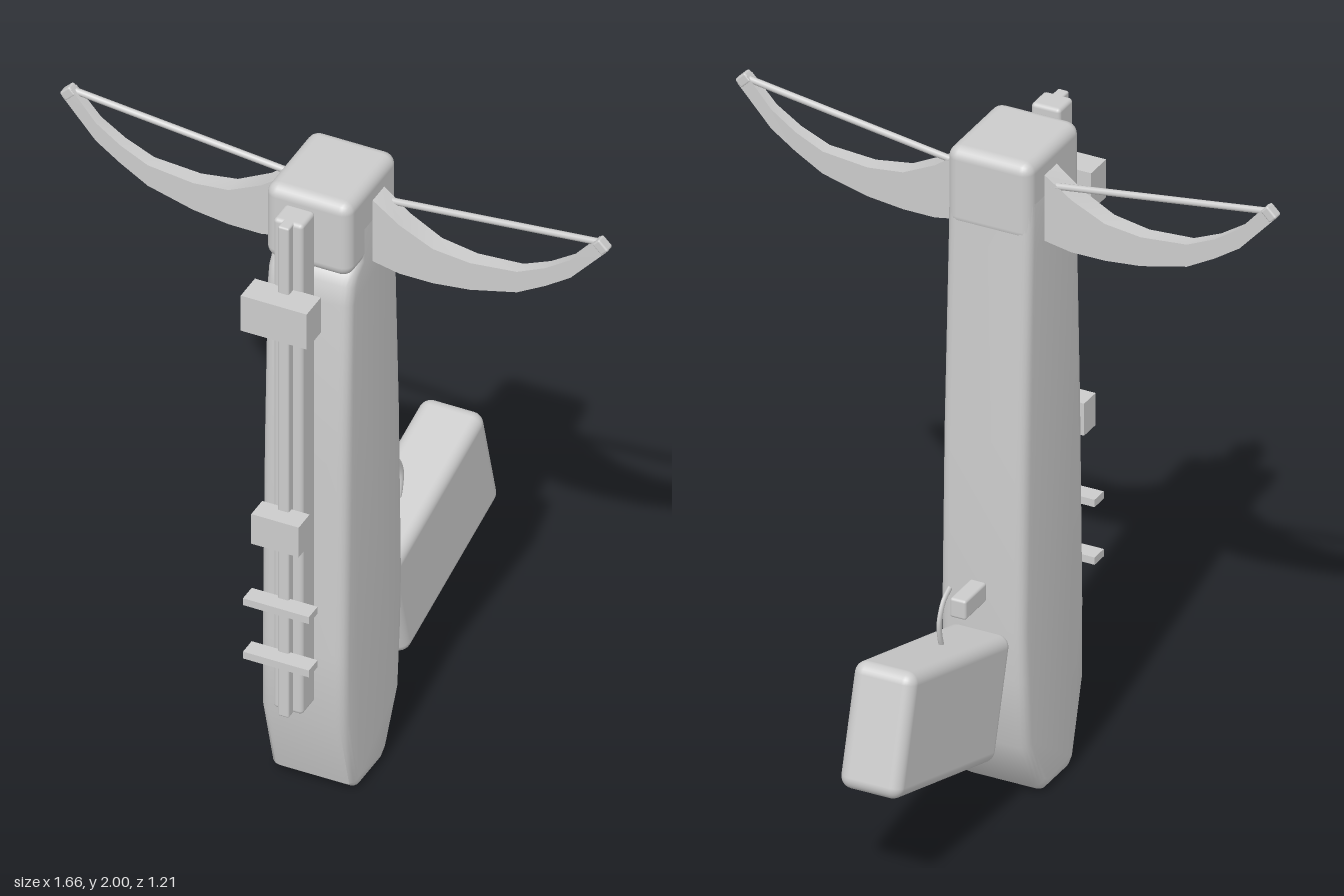
import * as THREE from 'three';
import { toCreasedNormals } from 'three/addons/utils/BufferGeometryUtils.js';
import { RoundedBoxGeometry } from 'three/addons/geometries/RoundedBoxGeometry.js';

const grey = new THREE.MeshStandardMaterial({ color: 0xcccccc });

export function createModel() {
  const group = new THREE.Group();

  const add = (name, geometry, x = 0, y = 0, z = 0) => {
    const mesh = new THREE.Mesh(geometry, grey);
    mesh.name = name;
    mesh.position.set(x, y, z);
    group.add(mesh);
    return mesh;
  };

  // Box given by its half width and its y and z ranges; r rounds the edges
  const box = (name, half, y0, y1, z0, z1, r = 0) => add(
    name,
    r ? new RoundedBoxGeometry(half * 2, y1 - y0, z1 - z0, 3, r)
      : new THREE.BoxGeometry(half * 2, y1 - y0, z1 - z0),
    0, (y0 + y1) / 2, (z0 + z1) / 2);

  // Stock: side profile (z, y) extruded across x with rounded edges
  const bevel = 0.03;
  const profile = [
    [0.20, 0.005], [0.34, 0.005], [0.37, 0.03], [0.432, 0.26], [0.433, 0.5], [0.42, 1.13],
    [0.402, 1.66], [0.392, 1.72], [0.37, 1.755], [0.34, 1.775], [0.34, 1.9],
    [0.105, 1.9], [0.10, 1.72], [0.075, 1.13], [0.062, 0.56], [0.068, 0.4], [0.085, 0.19], [0.165, 0.03],
  ].map(p => new THREE.Vector2(...p));
  const stock = new THREE.ExtrudeGeometry(new THREE.Shape(profile), {
    depth: 0.26 - 2 * bevel, bevelThickness: bevel, bevelSize: bevel, bevelOffset: -bevel, bevelSegments: 4,
  });
  stock.translate(0, 0, -0.13 + bevel).rotateY(-Math.PI / 2);
  add('stock', toCreasedNormals(stock, 0.6));
  box('head', 0.13, 1.755, 2.0, 0.10, 0.405, 0.035);

  // Rail with a narrow raised rib
  box('rail', 0.045, 0.34, 1.99, 0.44, 0.522, 0.012);
  box('railRib', 0.017, 0.34, 1.99, 0.50, 0.55, 0.006);

  // Sights and cross pins along the rail
  box('frontSight', 0.1, 1.65, 1.768, 0.52, 0.608);
  box('rearSight', 0.072, 0.935, 1.035, 0.532, 0.6);
  box('upperPin', 0.1, 0.715, 0.738, 0.54, 0.594);
  box('lowerPin', 0.1, 0.535, 0.558, 0.54, 0.594);

  // Tilted grip
  add('grip', new RoundedBoxGeometry(0.19, 0.363, 0.613, 4, 0.035), 0, 0.4525, -0.267).rotation.x = 0.275;

  // Trigger and its block
  box('triggerBlock', 0.025, 0.645, 0.705, -0.075, 0.05, 0.008);
  const triggerPath = new THREE.CatmullRomCurve3([
    [-0.12, 0.765], [-0.157, 0.742], [-0.182, 0.69], [-0.178, 0.64], [-0.16, 0.59],
  ].map(([z, y]) => new THREE.Vector3(0, y, z)));
  const trigger = new THREE.TubeGeometry(triggerPath, 20, 0.009, 8);
  trigger.scale(0.75, 1, 1);
  add('trigger', trigger);

  // Bow limbs: sections [x, y top, y bottom, z back, z front] joined into a tapering blade
  const sections = [
    [0.10, 1.945, 1.735, 0.187, 0.262], [0.13, 1.935, 1.73, 0.188, 0.26], [0.21, 1.875, 1.712, 0.193, 0.258],
    [0.31, 1.825, 1.71, 0.197, 0.255], [0.42, 1.81, 1.72, 0.20, 0.25], [0.56, 1.822, 1.753, 0.203, 0.245],
    [0.645, 1.86, 1.80, 0.205, 0.242], [0.72, 1.91, 1.85, 0.207, 0.24],
  ];
  const limbGeometry = side => {
    const rings = sections.map(([x, t, b, z0, z1]) =>
      [[x, t, z0], [x, t, z1], [x, b, z1], [x, b, z0]]);
    rings.push([[0.795, 1.995, 0.208], [0.795, 1.995, 0.236], [0.825, 1.965, 0.236], [0.825, 1.965, 0.208]]);
    const out = [];
    const quad = (a, b, c, d) => {
      const order = side > 0 ? [a, b, c, a, c, d] : [a, c, b, a, d, c];
      order.forEach(([x, y, z]) => out.push(x * side, y, z));
    };
    for (let i = 0; i < rings.length - 1; i++) {
      for (let j = 0; j < 4; j++) {
        const k = (j + 1) % 4;
        quad(rings[i][j], rings[i][k], rings[i + 1][k], rings[i + 1][j]);
      }
    }
    quad(...[...rings[0]].reverse());
    quad(...rings[rings.length - 1]);
    const geometry = new THREE.BufferGeometry();
    geometry.setAttribute('position', new THREE.Float32BufferAttribute(out, 3));
    return toCreasedNormals(geometry, 0.6);
  };

  for (const side of [1, -1]) {
    const label = side > 0 ? 'left' : 'right';
    add(label + 'Limb', limbGeometry(side));

    // Limb tip cap
    const tip = add(label + 'LimbTip', new RoundedBoxGeometry(0.03, 0.042, 0.032, 2, 0.006), side * 0.808, 1.977, 0.222);
    tip.rotation.z = side * Math.PI / 4;

    // String half, from the head to the limb tip
    const string = new THREE.LineCurve3(
      new THREE.Vector3(side * 0.12, 1.898, 0.198), new THREE.Vector3(side * 0.8, 1.982, 0.218));
    add(label + 'String', new THREE.TubeGeometry(string, 1, 0.01, 8));
  }

  return group;
}
